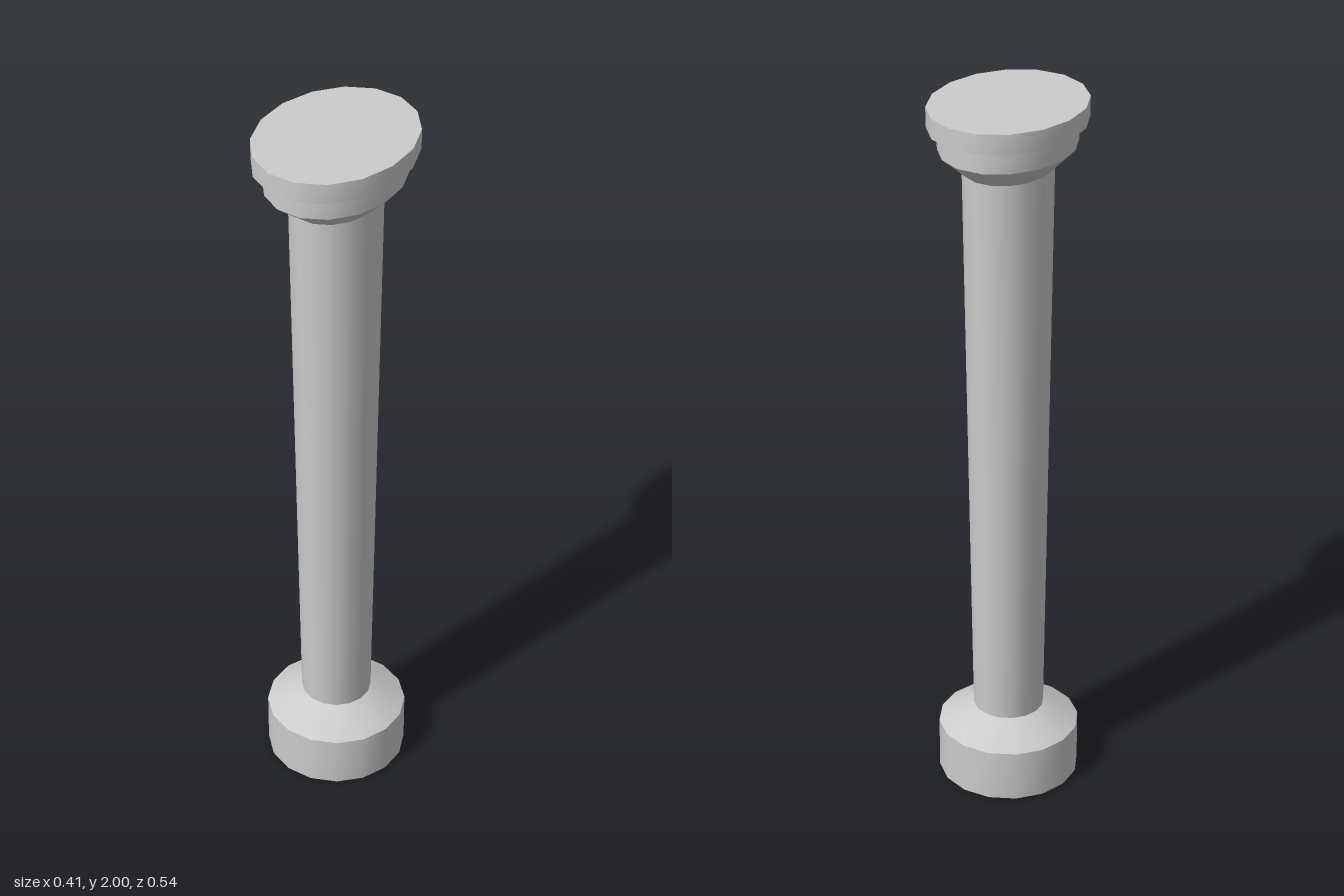
import * as THREE from 'three';

const SIDES = 16;
const material = new THREE.MeshStandardMaterial({ color: 0xcccccc });

// One smooth band between two elliptical rings [radiusX, y, radiusZ]; the edges between bands stay sharp.
function band(name, lower, upper) {
  const position = [], index = [];
  for (const [rx, y, rz] of [lower, upper]) {
    for (let i = 0; i < SIDES; i++) {
      const a = (i / SIDES) * Math.PI * 2;
      position.push(rx * Math.sin(a), y, rz * Math.cos(a));
    }
  }
  for (let i = 0; i < SIDES; i++) {
    const j = (i + 1) % SIDES;
    index.push(i, j, SIDES + j, i, SIDES + j, SIDES + i);
  }
  const geometry = new THREE.BufferGeometry();
  geometry.setAttribute('position', new THREE.Float32BufferAttribute(position, 3));
  geometry.setIndex(index);
  geometry.computeVertexNormals();
  const mesh = new THREE.Mesh(geometry, material);
  mesh.name = name;
  return mesh;
}

// Flat elliptical end face, pointing up or down.
function cap(name, [rx, y, rz], up) {
  const geometry = new THREE.CircleGeometry(1, SIDES);
  geometry.rotateX(up ? -Math.PI / 2 : Math.PI / 2);
  geometry.scale(rx, 1, rz);
  geometry.translate(0, y, 0);
  const mesh = new THREE.Mesh(geometry, material);
  mesh.name = name;
  return mesh;
}

export function createModel() {
  const group = new THREE.Group();
  group.name = 'column';

  // Rings from the round foot to the oval top
  const rings = [
    [0.2, 0, 0.2],
    [0.2, 0.15, 0.2],
    [0.1, 0.207, 0.1],
    [0.117, 1.826, 0.153],
    [0.177, 1.886, 0.235],
    [0.177, 1.947, 0.235],
    [0.204, 1.947, 0.268],
    [0.204, 2, 0.268],
  ];
  const names = ['base', 'baseSlope', 'shaft', 'capitalFlare', 'capitalCollar', 'topSlabUnderside', 'topSlabRim'];

  names.forEach((name, i) => group.add(band(name, rings[i], rings[i + 1])));
  group.add(cap('baseUnderside', rings[0], false));
  group.add(cap('topSlabFace', rings[rings.length - 1], true));
  return group;
}
